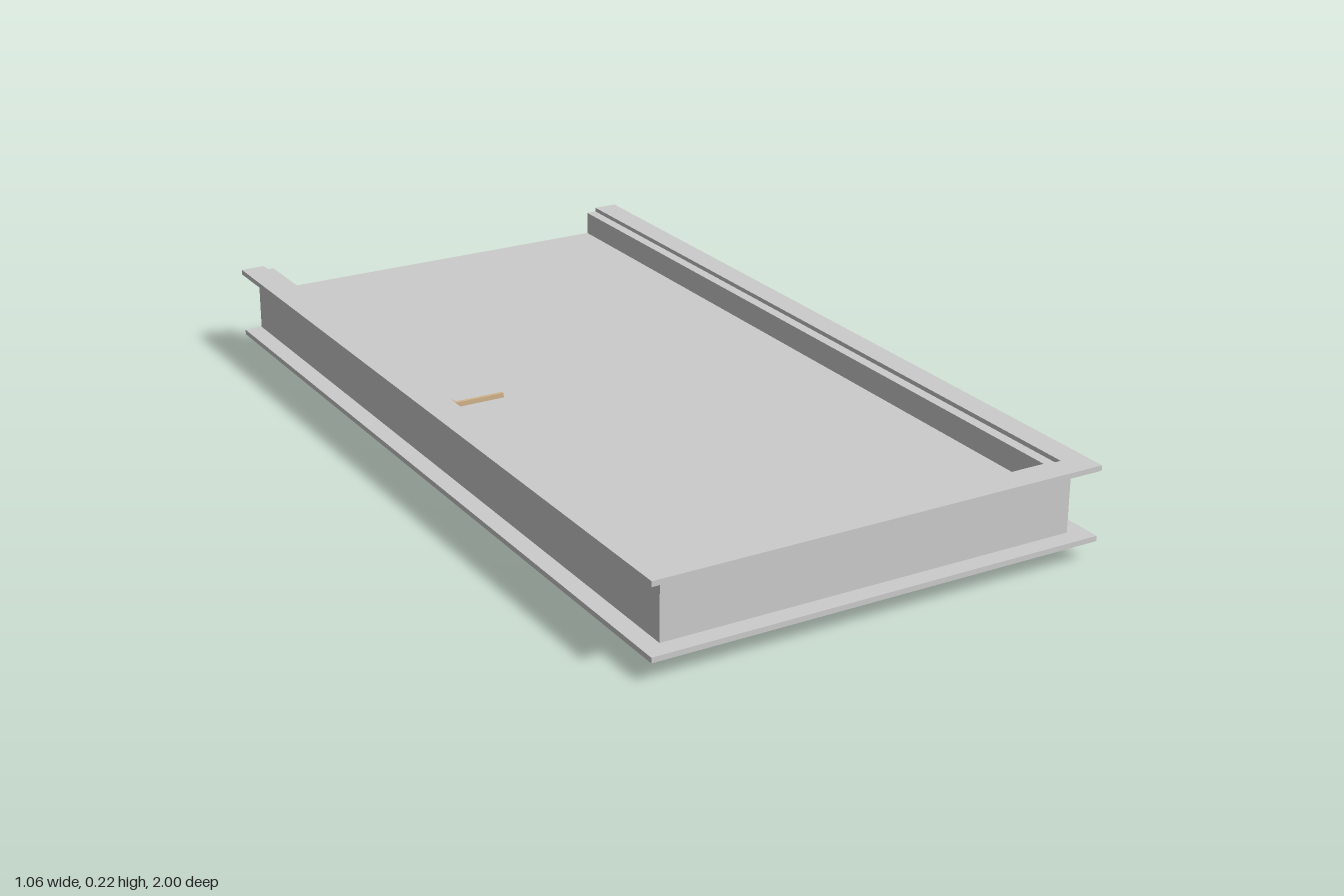
import * as THREE from 'three';

const grey = new THREE.MeshStandardMaterial({ color: 0xcccccc, flatShading: true });
const brass = new THREE.MeshStandardMaterial({ color: 0xd2b48c });

// Extrude a plan outline (x, -z) upwards from y0 to y1
function slab(name, shape, y0, y1, material) {
  const geo = new THREE.ExtrudeGeometry(shape, { depth: y1 - y0, bevelEnabled: false, curveSegments: 10 });
  geo.rotateX(-Math.PI / 2).translate(0, y0, 0);
  const mesh = new THREE.Mesh(geo, material);
  mesh.name = name;
  return mesh;
}

// Three-sided surround, open at the back (z = -1)
function surround(outerX, outerZ, innerX, innerZ) {
  return new THREE.Shape([
    [-outerX, 1], [-outerX, -outerZ], [outerX, -outerZ], [outerX, 1],
    [innerX, 1], [innerX, -innerZ], [-innerX, -innerZ], [-innerX, 1],
  ].map(([x, y]) => new THREE.Vector2(x, y)));
}

// Bar with one end bent back towards the spindle
function leverShape() {
  const s = new THREE.Shape();
  s.moveTo(-0.28, 0.077);
  s.lineTo(-0.392, 0.077);
  s.quadraticCurveTo(-0.409, 0.079, -0.409, 0.106);
  s.lineTo(-0.398, 0.106);
  s.quadraticCurveTo(-0.398, 0.085, -0.386, 0.085);
  s.lineTo(-0.28, 0.085);
  s.closePath();
  return s;
}

// Plate with rounded ends, behind the lever
function plateShape() {
  const s = new THREE.Shape();
  s.absarc(-0.403, 0.15, 0.014, 0, Math.PI);
  s.absarc(-0.403, 0.1, 0.014, Math.PI, Math.PI * 2);
  s.closePath();
  return s;
}

export function createModel() {
  const model = new THREE.Group();
  model.name = 'doorWithFrame';

  // Frame: two casings joined by the jamb lining
  const frame = new THREE.Group();
  frame.name = 'frame';
  frame.add(
    slab('upperCasing', surround(0.53, 1, 0.472, 0.94), 0.203, 0.215, grey),
    slab('lowerCasing', surround(0.53, 1, 0.457, 0.927), 0.045, 0.057, grey),
    slab('jamb', surround(0.487, 0.957, 0.447, 0.917), 0.055, 0.205, grey),
  );
  model.add(frame);

  // Door leaf
  const leaf = new THREE.Mesh(new THREE.BoxGeometry(0.9, 0.098, 1.92), grey);
  leaf.name = 'doorLeaf';
  leaf.position.set(0, 0.1, -0.04);
  model.add(leaf);

  // Lower handle with its spindle and plate, and the lever on the upper face
  const handle = new THREE.Group();
  handle.name = 'handle';
  const spindle = new THREE.Mesh(new THREE.CylinderGeometry(0.007, 0.007, 0.055, 16), brass);
  spindle.name = 'spindle';
  spindle.position.set(-0.403, 0.0275, -0.1);
  handle.add(
    slab('lowerLever', leverShape(), 0, 0.019, brass),
    slab('handlePlate', plateShape(), 0.041, 0.053, brass),
    spindle,
    slab('upperLever', leverShape(), 0.143, 0.16, brass),
  );
  model.add(handle);
  return model;
}
